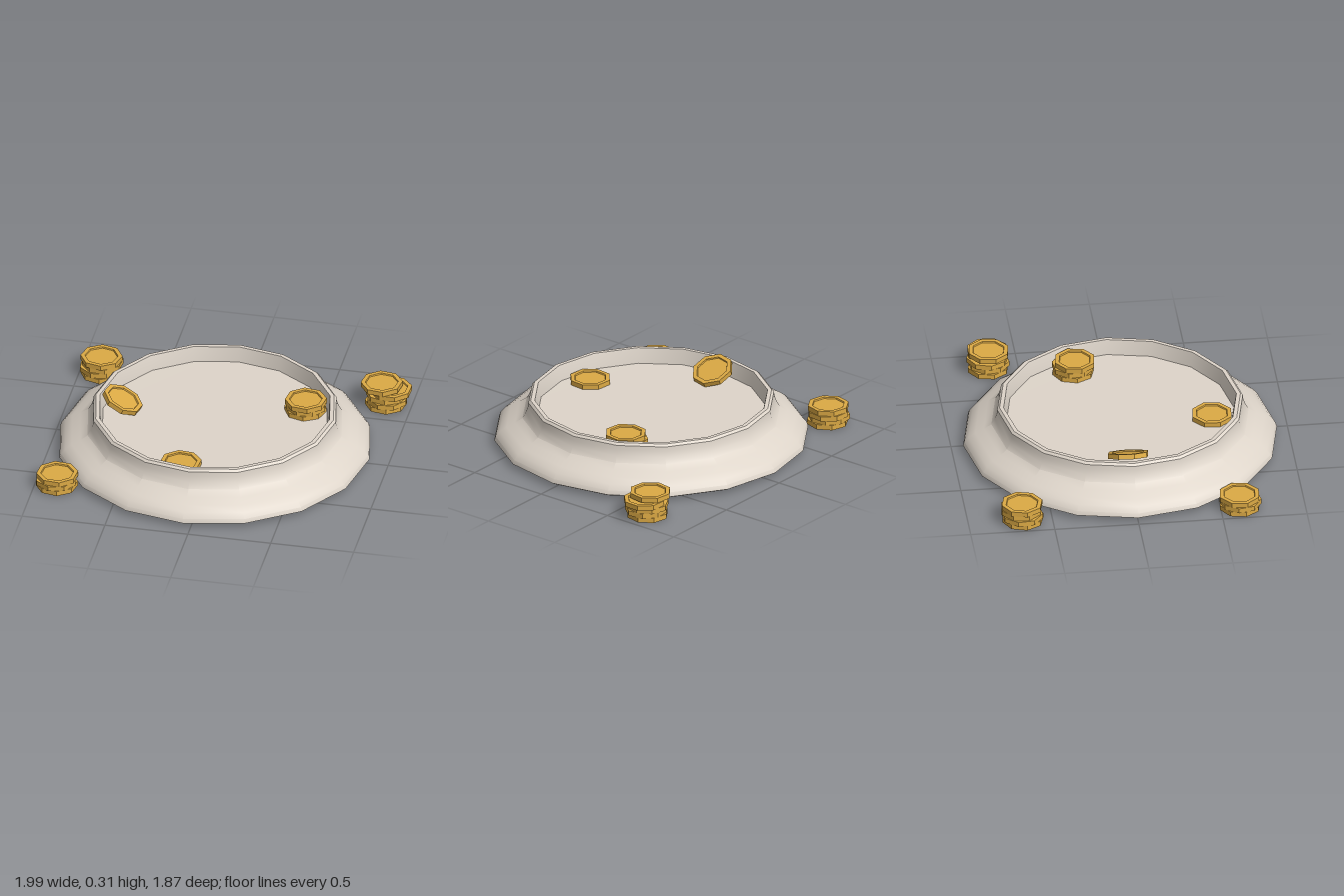
import * as THREE from 'three';
import { toCreasedNormals } from 'three/addons/utils/BufferGeometryUtils.js';

// Revolve a [radius, height] profile, keeping sharp edges sharp
function lathe(profile, sides) {
  const points = profile.map(([r, y]) => new THREE.Vector2(r, y));
  return toCreasedNormals(new THREE.LatheGeometry(points, sides), 0.5);
}

export function createModel() {
  const model = new THREE.Group();
  model.name = 'coinDish';

  const stone = new THREE.MeshStandardMaterial({ color: 0xded5ca });
  stone.name = 'pale stone';
  const gold = new THREE.MeshStandardMaterial({ color: 0xdcaa45 });
  gold.name = 'gold';

  // Sixteen-sided dish: underside, flared foot, neck, rim and sunken floor
  const dish = new THREE.Mesh(lathe([
    [0, 0], [0.6, 0.002], [0.87, 0.012], [0.92, 0.022],
    [0.933, 0.03], [0.925, 0.055], [0.9, 0.085], [0.86, 0.113], [0.81, 0.137], [0.765, 0.165],
    [0.745, 0.2], [0.733, 0.235], [0.73, 0.262], [0.716, 0.275],
    [0.692, 0.275], [0.688, 0.262], [0.675, 0.182], [0, 0.18],
  ], 16), stone);
  dish.name = 'dish';
  dish.position.x = -0.045;
  model.add(dish);

  // Octagonal coin with a raised border
  const thickness = 0.03;
  const coinGeometry = lathe([
    [0, 0], [0.124, 0], [0.124, thickness], [0.098, thickness], [0.095, thickness - 0.008], [0, thickness - 0.008],
  ], 8);

  function addStack(name, x, y, z, offsets) {
    const stack = new THREE.Group();
    stack.name = name;
    stack.position.set(x, y, z);
    offsets.forEach(([dx, dz, turn], i) => {
      const coin = new THREE.Mesh(coinGeometry, gold);
      coin.name = 'coin';
      coin.position.set(dx, i * thickness, dz);
      coin.rotation.y = turn;
      stack.add(coin);
    });
    model.add(stack);
    return stack;
  }

  // Stacks on the ground, listed bottom coin first
  addStack('backRightStack', -0.87, 0, -0.68,
    [[0, 0.005, 0.1], [-0.008, 0, 0.5], [0.006, -0.005, 0.3], [0, 0, 0.15]]);
  addStack('frontRightStack', -0.87, 0, 0.615,
    [[0, 0, 0.2], [-0.004, 0.004, 0.6], [0.002, -0.002, 0.3]]);
  addStack('backLeftStack', 0.82, 0, -0.68,
    [[0.025, 0, 0.2], [0.035, 0.005, 0.5], [0.03, -0.005, 0.1], [0.058, 0, 0.35], [0, 0, 0.25]]);

  // Coins inside the dish
  addStack('dishStack', 0.46, 0.18, -0.21,
    [[-0.005, -0.01, 0.1], [0, -0.013, 0.5], [0, 0, 0.25]]);
  addStack('looseCoin', -0.14, 0.18, 0.535, [[0, 0, 0.3]]);

  // Coin leaning on the inner wall
  const leaning = addStack('leaningCoin', -0.612, 0.23, -0.018, [[0, 0, 0.2]]);
  leaning.rotation.z = -0.43;

  return model;
}
